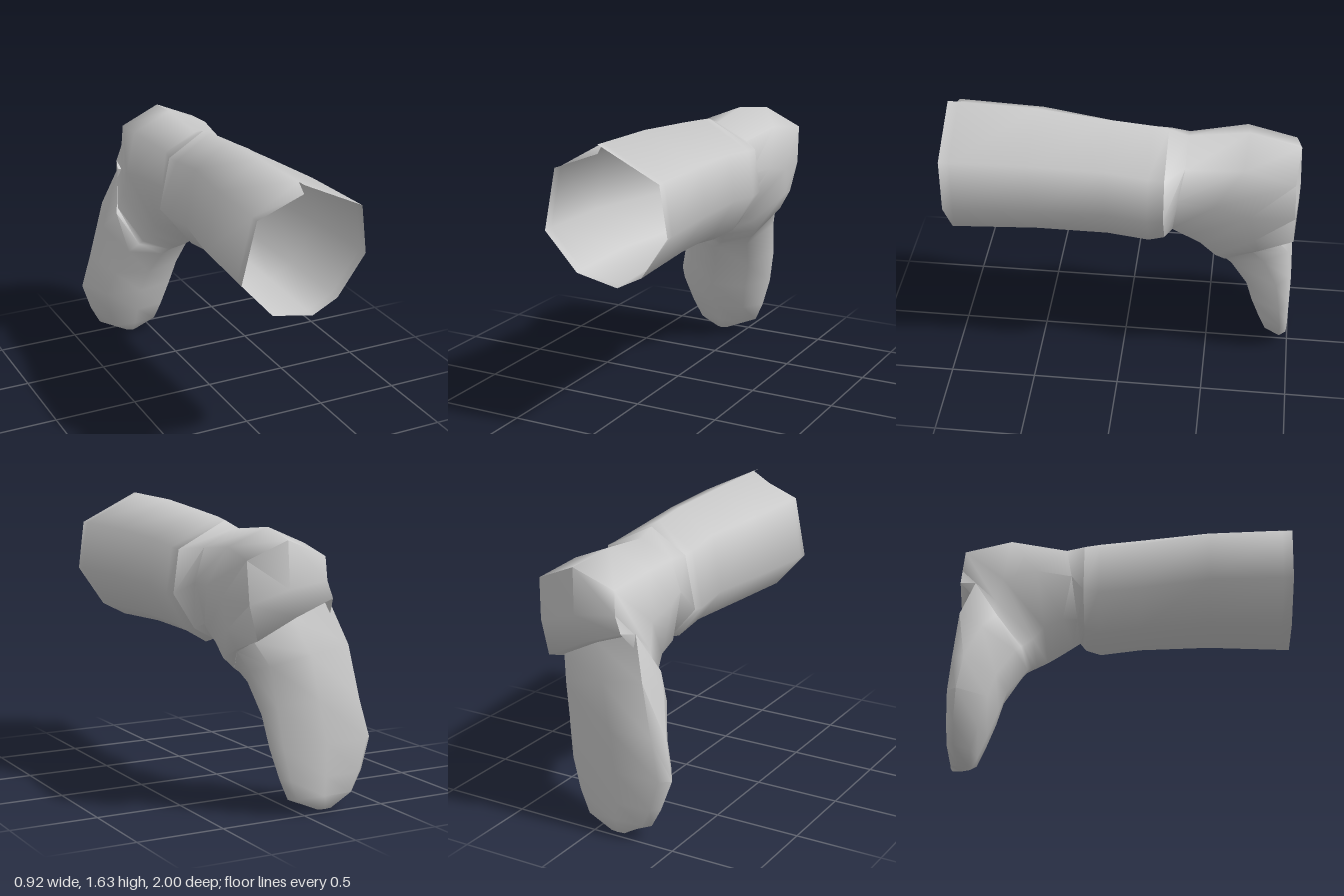
import * as THREE from 'three';
import { toCreasedNormals } from 'three/addons/utils/BufferGeometryUtils.js';

const material = new THREE.MeshStandardMaterial({ color: 0xcccccc, side: THREE.DoubleSide });

// Skins a list of rings (arrays of [x, y, z]); a closed ring wraps round.
function loft(rings, closed) {
  const n = rings[0].length;
  const index = [];
  for (let i = 0; i < rings.length - 1; i++) {
    for (let j = 0; j < (closed ? n : n - 1); j++) {
      const k = (j + 1) % n;
      const a = i * n + j, b = i * n + k, c = a + n, d = b + n;
      index.push(a, b, c, b, d, c);
    }
  }
  const g = new THREE.BufferGeometry();
  g.setAttribute('position', new THREE.Float32BufferAttribute(rings.flat(2), 3));
  g.setIndex(index);
  return toCreasedNormals(g, 1.35);
}

// Shaft: a sheet wrapped round, with a small notch where its edges meet at the rim
function shaftRings() {
  const outline = [[-0.07, 1], [0.89, 0.55], [1, -0.19], [0.57, -0.8], [0.17, -1],
    [-0.49, -0.87], [-1, -0.32], [-0.79, 0.6]];
  // z, min x, max x, min y, max y, depth of the notch
  const rows = [
    [1, -0.29, 0.46, 0.86, 1.635, 0.13],
    [0.94, -0.287, 0.457, 0.863, 1.633, 0],
    [0.5, -0.265, 0.435, 0.88, 1.62, 0],
    [0.08, -0.19, 0.405, 0.875, 1.59, 0],
    [-0.16, -0.2, 0.41, 0.845, 1.565, 0],
    [-0.25, -0.205, 0.41, 0.875, 1.55, 0],
  ];
  return rows.map(([z, x0, x1, y0, y1, notch]) =>
    [...outline, [-0.07, 1 - notch]].map(([u, v]) => [
      (x0 + x1) / 2 + u * (x1 - x0) / 2,
      (y0 + y1) / 2 + v * (y1 - y0) / 2,
      z - 0.015 * (1 - v) * Math.max(z, 0),
    ]));
}

// Foot: rings swing round the ankle from the shaft direction down to the toe
function footRings() {
  // instep y, z; back or sole y, z; min x, max x;
  // drop of back corners; back tilt; back shift in x; where the ring is widest
  const rows = [
    [0.885, -0.28, 1.51, -0.36, -0.155, 0.31, 0.1, 0, 0, 0.55],
    [0.85, -0.32, 1.545, -0.7, -0.225, 0.35, 0.1, 0, 0, 0.55],
    [0.80, -0.40, 1.50, -0.99, -0.22, 0.36, 0.1, 0, 0.04, 0.55],
    [0.75, -0.47, 1.24, -1.0, -0.23, 0.345, 0, 0.25, 0.045, 0.55],
    [0.71, -0.53, 1.09, -1.0, -0.26, 0.30, 0, 0.5, 0.04, 0.55],
    [0.69, -0.56, 1.07, -0.9, -0.285, 0.275, 0, 0.5, 0.03, 0.55],
    [0.66, -0.58, 0.88, -0.975, -0.345, 0.245, 0, 0.2, 0, 0.62],
    [0.50, -0.69, 0.62, -0.99, -0.41, 0.215, 0, 0, 0, 0.72],
    [0.36, -0.73, 0.38, -1.0, -0.46, 0.18, 0, 0, 0, 0.75],
    [0.20, -0.79, 0.20, -1.0, -0.40, 0.125, 0, 0, 0, 0.75],
    [0.08, -0.84, 0.09, -0.995, -0.34, 0.075, 0, 0, 0, 0.7],
    [0.02, -0.87, 0.015, -0.985, -0.19, -0.09, 0, 0, 0, 0.6],
    [0.0, -0.93, 0.0, -0.93, -0.14, -0.14, 0, 0, 0, 0.5],
  ];
  return rows.map(([fy, fz, by, bz, x0, x1, drop, tilt, shift, widest]) => {
    // sideways factor, position from instep (0) to back (1)
    const outline = [[0, 1], [0.83, 0.96], [1, widest], [0.68, 0.14],
      [0, 0], [-0.68, 0.14], [-1, widest], [-0.83, 0.96]];
    return outline.map(([u, v]) => {
      const across = u * (x1 - x0) / 2;
      const back = v ** 4;
      return [
        (x0 + x1) / 2 + across + shift * back,
        fy + (by - fy) * v - (drop * Math.abs(u) + tilt * across) * back,
        fz + (bz - fz) * v,
      ];
    });
  });
}

export function createModel() {
  const group = new THREE.Group();
  group.name = 'boot';
  const shaft = shaftRings();
  // the foot starts on the shaft's last ring, without its seam point
  const collar = shaft.at(-1).slice(0, 8);
  const parts = { shaft: loft(shaft, false), foot: loft([collar, ...footRings()], true) };
  for (const [name, geometry] of Object.entries(parts)) {
    const mesh = new THREE.Mesh(geometry, material);
    mesh.name = name;
    group.add(mesh);
  }
  return group;
}
